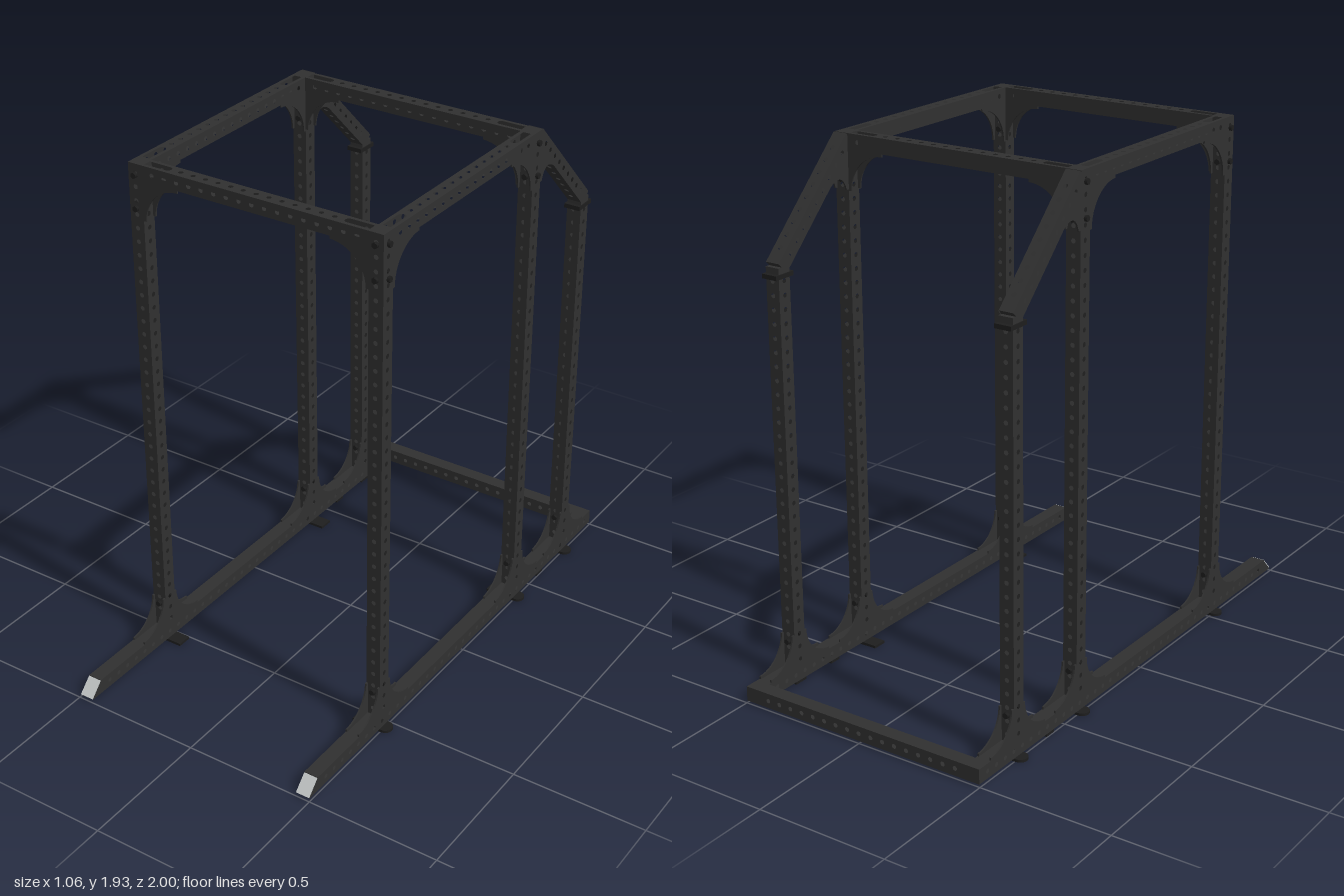
import * as THREE from 'three';
import { mergeGeometries } from 'three/addons/utils/BufferGeometryUtils.js';

const H = 0.0275;      // half width of a square tube
const PITCH = 0.05;    // hole spacing
const X = 0.47;        // side frame centre
const UP = new THREE.Vector3(0, 1, 0);

const mat = (name, color) => {
  const m = new THREE.MeshStandardMaterial({ color, side: THREE.DoubleSide });
  m.name = name;
  return m;
};

// One tube wall with a row of holes and optional long slots at both ends
function wall(len, { holes = true, slots = false, first }) {
  const s = new THREE.Shape([[-H, 0], [H, 0], [H, len], [-H, len]].map(p => new THREE.Vector2(...p)));
  if (holes) {
    const n = Math.floor((len - 0.03) / PITCH);
    const start = first ?? (len - (n - 1) * PITCH) / 2;
    for (let y = start; y < len - 0.012; y += PITCH) {
      if (slots && (y < 0.125 || y > len - 0.125)) continue;
      s.holes.push(new THREE.Path().absarc(0, y, 0.0088, 0, Math.PI * 2, true));
    }
  }
  if (slots) {
    const r = 0.014;
    const low = new THREE.Path();
    low.moveTo(-r, 0.004).lineTo(r, 0.004).lineTo(r, 0.09);
    low.absarc(0, 0.09, r, 0, Math.PI, false);
    const high = new THREE.Path();
    high.moveTo(r, len - 0.004).lineTo(-r, len - 0.004).lineTo(-r, len - 0.09);
    high.absarc(0, len - 0.09, r, Math.PI, Math.PI * 2, false);
    s.holes.push(low, high);
  }
  return new THREE.ShapeGeometry(s, 5);
}

// Hollow square tube between two points; local x and z walls are styled separately
function tube(name, from, to, material, xWall = {}, zWall = {}) {
  const a = new THREE.Vector3(...from), d = new THREE.Vector3(...to).sub(a);
  const len = d.length();
  const parts = [];
  for (let i = 0; i < 4; i++) {
    parts.push(wall(len, i % 2 ? xWall : zWall).translate(0, 0, H).rotateY(i * Math.PI / 2));
  }
  for (const [y, turn] of [[0, 1], [len, -1]]) {
    parts.push(new THREE.PlaneGeometry(2 * H, 2 * H).rotateX(turn * Math.PI / 2).translate(0, y, 0));
  }
  const m = new THREE.Mesh(mergeGeometries(parts), material);
  m.name = name;
  m.position.copy(a);
  m.quaternion.setFromUnitVectors(UP, d.normalize());
  return m;
}

// Pair of flat plates cut from a shape, spaced to the tube's side faces
function platePair(name, shape, material) {
  const g = new THREE.Group();
  g.name = name;
  const geo = new THREE.ExtrudeGeometry(shape, { depth: 0.006, bevelEnabled: false, curveSegments: 12 });
  for (const z of [-H, H - 0.006]) {
    const m = new THREE.Mesh(geo, material);
    m.position.z = z;
    g.add(m);
  }
  return g;
}

// Concave corner brace; su and sv give the directions of its two legs
function gusset(name, pos, su, sv, R, material, alongZ) {
  const t = 0.01, pts = [[0, 0], [R, 0]];
  for (let i = 0; i <= 12; i++) {
    const a = -Math.PI / 2 * (1 + i / 12);
    pts.push([R + (R - t) * Math.cos(a), R + (R - t) * Math.sin(a)]);
  }
  pts.push([0, R]);
  const g = platePair(name, new THREE.Shape(pts.map(p => new THREE.Vector2(p[0] * su, p[1] * sv))), material);
  g.position.set(...pos);
  if (alongZ) g.rotation.y = -Math.PI / 2;
  return g;
}

export function createModel() {
  const root = new THREE.Group();
  root.name = 'rack';
  const frame = mat('frame black', 0x303030);
  const steel = mat('bolt black', 0x1e1e1e);
  const light = mat('end cap grey', 0xc4c8c8);

  const box = (name, size, pos, material) => {
    const m = new THREE.Mesh(new THREE.BoxGeometry(...size), material);
    m.name = name;
    m.position.set(...pos);
    root.add(m);
    return m;
  };
  const boltGeo = new THREE.CylinderGeometry(0.011, 0.011, 0.012, 6);
  const bolt = (x, y, z, dx, dz) => {
    const m = new THREE.Mesh(boltGeo, steel);
    m.name = 'bolt';
    m.position.set(x + dx * (H + 0.005), y, z + dz * (H + 0.005));
    if (dx) m.rotation.z = Math.PI / 2; else m.rotation.x = Math.PI / 2;
    root.add(m);
  };

  const base = 0.0375, top = 1.8975, front = 0.5375, mid = -0.3975, back = -0.775;
  const plain = { holes: false }, slotted = { slots: true }, post = { first: 0.0275 };

  for (const s of [1, -1]) {
    const x = s * X, side = s > 0 ? 'left' : 'right';

    // Base rail with slanted front tip and pale cap
    root.add(tube(side + 'BaseRail', [x, base, -1], [x, base, 0.945], frame, {}, plain));
    const tip = new THREE.Shape([[0.945, 0.01], [0.995, 0.01], [0.945, 0.062]].map(p => new THREE.Vector2(...p)));
    const tipMesh = new THREE.Mesh(
      new THREE.ExtrudeGeometry(tip, { depth: 2 * H, bevelEnabled: false }), frame);
    tipMesh.name = side + 'RailTip';
    tipMesh.rotation.y = -Math.PI / 2;
    tipMesh.position.x = x + H;
    root.add(tipMesh);
    box(side + 'EndCap', [0.052, 0.072, 0.005], [x, 0.0375, 0.971], light).rotation.x = -Math.PI / 4;

    // Uprights, top rail and sloping rear brace
    root.add(tube(side + 'FrontUpright', [x, 0.065, front], [x, 1.925, front], frame, post, post));
    root.add(tube(side + 'MiddleUpright', [x, 0.065, mid], [x, 1.925, mid], frame, post, post));
    root.add(tube(side + 'BackUpright', [x, 0.065, back], [x, 1.54, back], frame, post, post));
    root.add(tube(side + 'TopRail', [x, top, mid + H], [x, top, front - H], frame, {}, slotted));
    root.add(tube(side + 'SlopedBrace', [x, 1.9055, -0.4105], [x, 1.5355, -0.7805], frame));
    box(side + 'BraceJoint', [0.062, 0.016, 0.088], [x, 1.51, back], steel);

    // Braces in the side frame
    for (const z of [front, mid, back]) {
      for (const d of [1, -1]) {
        root.add(gusset(side + 'BaseGusset', [x, 0.065, z + d * H], d, 1, 0.13, frame, true));
        bolt(x, 0.165, z, 0, d);
      }
    }
    root.add(gusset(side + 'TopGusset', [x, 1.87, front - H], -1, -1, 0.15, frame, true));
    root.add(gusset(side + 'TopGusset', [x, 1.87, mid + H], 1, -1, 0.15, frame, true));
    const small = new THREE.Shape();
    small.moveTo(-0.424, 1.73).lineTo(-0.424, 1.86).lineTo(-0.535, 1.745);
    small.quadraticCurveTo(-0.46, 1.81, -0.436, 1.73);
    const brace = platePair(side + 'SlopeGusset', small, frame);
    brace.rotation.y = -Math.PI / 2;
    brace.position.x = x;
    root.add(brace);

    // Braces under the crossbars
    for (const z of [front, mid]) {
      root.add(gusset(side + 'CrossGusset', [x - s * H, 1.87, z], -s, -1, 0.145, frame, false));
      for (const y of [1.885, 1.765]) {
        bolt(x, y, z, s, 0);
        for (const d of [1, -1]) if (d > 0 || y < 1.8) bolt(x, y, z, 0, d);
      }
    }

    // Floor plates with rounded outer ears
    for (const z of [front, mid, back]) {
      const inner = z === back ? X - H : 0.385;
      const w = 0.505 - inner;
      box(side + 'FootPlate', [w, 0.01, 0.055], [s * (inner + w / 2), 0.005, z], steel);
      const ear = new THREE.Mesh(new THREE.CylinderGeometry(H, H, 0.01, 16), steel);
      ear.name = side + 'FootEar';
      ear.position.set(s * 0.504, 0.005, z);
      root.add(ear);
    }
    box(side + 'RailFoot', [0.055, 0.01, 0.045], [x, 0.005, -0.585], steel);
  }

  // Crossbars joining the two sides
  const half = X - H;
  for (const [name, z] of [['frontCrossbar', front], ['middleCrossbar', mid]]) {
    root.add(tube(name, [-half, top, z], [half, top, z], frame, slotted, {}));
  }
  root.add(tube('rearBaseBar', [-half, base, -1 + H], [half, base, -1 + H], frame, plain, {}));

  return root;
}
